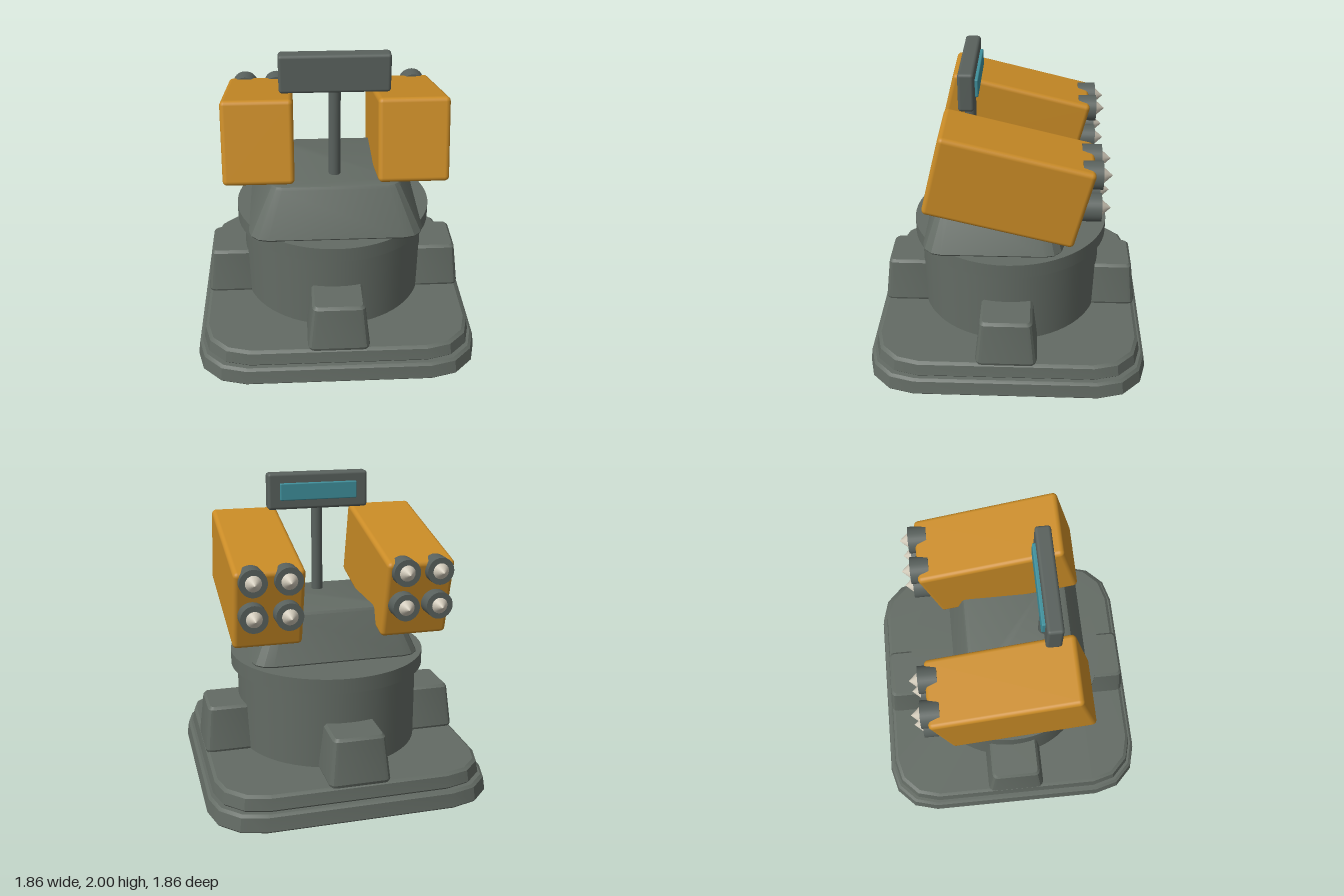
import * as THREE from 'three';
import { toCreasedNormals } from 'three/addons/utils/BufferGeometryUtils.js';
import { RoundedBoxGeometry } from 'three/addons/geometries/RoundedBoxGeometry.js';

const material = (name, color) => {
  const m = new THREE.MeshStandardMaterial({ color });
  m.name = name;
  return m;
};

// Loft through rounded rectangles; each row is [y, half width, half depth, corner radius, z shift]
function loft(rows, cornerSteps = 3) {
  const signs = [[1, 1], [-1, 1], [-1, -1], [1, -1]];
  const rings = rows.map(([y, hx, hz, r, dz = 0]) => {
    const ring = [];
    signs.forEach(([sx, sz], q) => {
      for (let i = 0; i <= cornerSteps; i++) {
        const a = (q + i / cornerSteps) * Math.PI / 2;
        ring.push([sx * (hx - r) + r * Math.cos(a), y, sz * (hz - r) + r * Math.sin(a) + dz]);
      }
    });
    return ring;
  });
  const pos = [];
  const tri = (a, b, c) => pos.push(...a, ...b, ...c);
  const n = rings[0].length;
  for (let k = 0; k < rings.length - 1; k++) {
    for (let i = 0; i < n; i++) {
      const j = (i + 1) % n;
      const [a, b, c, d] = [rings[k][i], rings[k][j], rings[k + 1][j], rings[k + 1][i]];
      tri(a, d, c);
      tri(a, c, b);
    }
  }
  const top = rings[rings.length - 1];
  for (let i = 1; i < n - 1; i++) {
    tri(rings[0][0], rings[0][i], rings[0][i + 1]);
    tri(top[0], top[i + 1], top[i]);
  }
  const g = new THREE.BufferGeometry();
  g.setAttribute('position', new THREE.Float32BufferAttribute(pos, 3));
  return toCreasedNormals(g, 0.4);
}

export function createModel() {
  const grey = material('armourGrey', 0x636b64);
  const darkGrey = material('metalGrey', 0x59615d);
  const orange = material('podOrange', 0xc98b26);
  const teal = material('screenTeal', 0x3f909c);
  const ivory = material('warheadIvory', 0xcfc8b8);

  const model = new THREE.Group();
  model.name = 'missileTurret';
  const add = (parent, name, geometry, mat, x = 0, y = 0, z = 0) => {
    const mesh = new THREE.Mesh(geometry, mat);
    mesh.name = name;
    mesh.position.set(x, y, z);
    parent.add(mesh);
    return mesh;
  };

  // Stepped base plates
  add(model, 'lowerBase', loft([
    [0, 0.92, 0.92, 0.32], [0.012, 0.93, 0.93, 0.33],
    [0.1, 0.917, 0.917, 0.32], [0.115, 0.9, 0.9, 0.31],
  ]), grey);
  add(model, 'upperBase', loft([
    [0.112, 0.87, 0.87, 0.3], [0.13, 0.886, 0.886, 0.31],
    [0.205, 0.873, 0.873, 0.3], [0.22, 0.853, 0.853, 0.29],
  ]), grey);

  // Drum and its flange
  add(model, 'drum', new THREE.CylinderGeometry(0.612, 0.612, 0.54, 64), grey, 0, 0.485, 0);
  add(model, 'flange', new THREE.CylinderGeometry(0.655, 0.655, 0.097, 64), grey, 0, 0.797, 0);

  // Four tapered buttresses around the drum
  const buttress = loft([
    [0.215, 0.193, 0.193, 0.04], [0.235, 0.2, 0.2, 0.045],
    [0.51, 0.168, 0.168, 0.035], [0.528, 0.152, 0.152, 0.025],
  ]);
  for (let i = 0; i < 4; i++) {
    const a = i * Math.PI / 2;
    const b = add(model, 'buttress', buttress, grey, 0.677 * Math.sin(a), 0, 0.677 * Math.cos(a));
    b.rotation.y = a;
  }

  // Sloped turret head
  add(model, 'turretHead', loft([
    [0.842, 0.555, 0.45, 0.12, 0.095], [0.855, 0.563, 0.458, 0.125, 0.095],
    [1.155, 0.423, 0.356, 0.08, 0.09], [1.172, 0.41, 0.345, 0.075, 0.09],
    [1.18, 0.388, 0.323, 0.06, 0.09],
  ]), grey);

  // Sensor mast with a panel and screen
  add(model, 'mast', new THREE.CylinderGeometry(0.038, 0.038, 0.65, 24), darkGrey, 0, 1.465, 0.26);
  add(model, 'sensorPanel', new RoundedBoxGeometry(0.69, 0.245, 0.1, 2, 0.02), darkGrey, 0, 1.8775, 0.258);
  add(model, 'sensorScreen', new RoundedBoxGeometry(0.53, 0.115, 0.03, 2, 0.008), teal, 0, 1.877, 0.202);

  // Tilted launcher pods, each with four level missiles
  const podBox = new RoundedBoxGeometry(0.445, 0.532, 0.958, 3, 0.03);
  const tube = new THREE.CylinderGeometry(0.087, 0.087, 0.12, 32).rotateX(-Math.PI / 2);
  const cone = new THREE.ConeGeometry(0.053, 0.06, 24).rotateX(-Math.PI / 2);
  for (const side of [1, -1]) {
    const pod = new THREE.Group();
    pod.name = side > 0 ? 'leftPod' : 'rightPod';
    model.add(pod);
    const box = add(pod, 'podBox', podBox, orange, side * 0.482, 1.382, -0.008);
    box.rotation.x = -0.24;
    for (const dx of [-0.11, 0.11]) {
      for (const y of [1.25, 1.473]) {
        const x = side * 0.482 + dx;
        add(pod, 'missileTube', tube, darkGrey, x, y, -0.515);
        add(pod, 'warhead', cone, ivory, x, y, -0.603);
      }
    }
  }
  return model;
}
